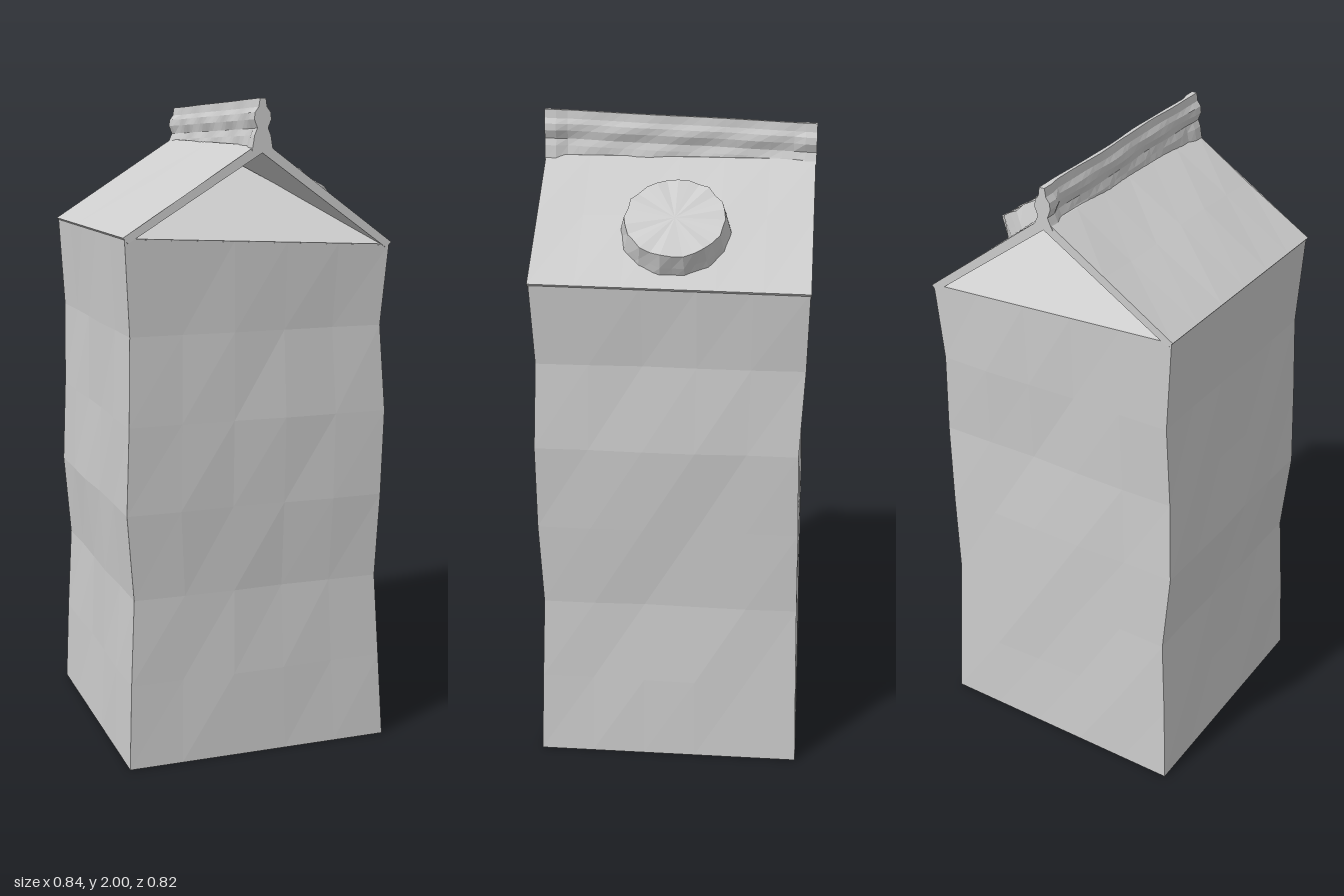
import * as THREE from 'three';

const card = new THREE.MeshStandardMaterial({ color: 0xcccccc });
card.name = 'plain grey card';

// Move each vertex by a rule, then facet the surface
function facet(geometry, rule) {
  const p = geometry.attributes.position;
  const v = new THREE.Vector3();
  for (let i = 0; i < p.count; i++) {
    v.fromBufferAttribute(p, i);
    if (rule) rule(v);
    p.setXYZ(i, v.x, v.y, v.z);
  }
  const flat = geometry.index ? geometry.toNonIndexed() : geometry;
  flat.computeVertexNormals();
  return flat;
}

function part(name, geometry) {
  const mesh = new THREE.Mesh(geometry, card);
  mesh.name = name;
  return mesh;
}

// Profile in the xy plane, extruded along z and centred
function prism(points, depth, steps) {
  const shape = new THREE.Shape(points.map(([x, y]) => new THREE.Vector2(x, y)));
  const g = new THREE.ExtrudeGeometry(shape, { depth, steps, bevelEnabled: false });
  return g.translate(0, 0, -depth / 2);
}

// Half widths of the buckled walls at seven heights
const LEFT = [0.42, 0.41, 0.396, 0.418, 0.408, 0.4, 0.415];
const RIGHT = [0.42, 0.405, 0.39, 0.4, 0.408, 0.39, 0.41];
const FRONT = [0.415, 0.406, 0.396, 0.406, 0.406, 0.396, 0.405];
const BACK = [0.406, 0.4, 0.395, 0.392, 0.386, 0.4, 0.406];
const TILT = -0.048;

export function createModel() {
  const carton = new THREE.Group();
  carton.name = 'carton';

  // Body: a box with slightly dented walls and a tilted rim
  carton.add(part('body', facet(new THREE.BoxGeometry(2, 1, 2, 5, 6, 5), (v) => {
    const k = Math.round((v.y + 0.5) * 6);
    const { x, z } = v;
    const dent = k === 0 || k === 6 ? 0 : 0.005;
    v.x = x * (x < 0 ? LEFT[k] : RIGHT[k]) + (Math.abs(x) > 0.99 ? dent * Math.sin(z * 4 + k * 2) * (1 - z * z) : 0);
    v.z = z * (z < 0 ? BACK[k] : FRONT[k]) + (Math.abs(z) > 0.99 ? dent * Math.sin(x * 4 + k * 1.7) * (1 - x * x) : 0);
    v.y = k * 0.265 + (k === 6 ? TILT * v.x : 0);
  })));

  // Tucked-in gable folds, sloping to a point under the ridge
  const fold = new THREE.ConeGeometry(0.405 * Math.SQRT2, 0.25, 4).rotateY(Math.PI / 4);
  carton.add(part('gableFolds', facet(fold.translate(0, 1.712, 0), (v) => {
    v.y += TILT * v.x;
  })));

  // Two roof panels overhanging the folds
  const roof = prism([
    [-0.42, 1.612], [-0.405, 1.595], [0, 1.845], [0.4, 1.555],
    [0.416, 1.572], [0.2, 1.733], [0.02, 1.866], [-0.02, 1.866], [-0.2, 1.752],
  ], 0.816, 6);
  carton.add(part('roofPanels', facet(roof, (v) => {
    if (Math.abs(v.x) > 0.1 && Math.abs(v.x) < 0.3) v.y += 0.006 * Math.cos(v.z * 9 + v.x * 5);
    if (v.x > 0.3) v.y += 0.012 * v.z;
  })));

  // Pinched top seam, swollen at both ends and lower at the back
  const half = [[0.026, 1.85], [0.02, 1.88], [0.013, 1.9], [0.021, 1.925], [0.019, 1.945], [0.01, 1.96], [0.007, 1.985]];
  const seamOutline = [...half, ...half.map(([x, y]) => [-x, y]).reverse()];
  carton.add(part('topSeam', facet(prism(seamOutline, 0.82, 24), (v) => {
    const end = Math.abs(v.z) > 0.36;
    v.x *= end ? 1.25 : 0.8 + 0.12 * Math.sin(v.z * 31 + v.y * 60);
    if (v.y > 1.87) v.y += 0.037 * v.z;
    if (!end) v.x += 0.003 * Math.sin(v.z * 14);
  })));

  // Screw cap lying square on the right roof panel
  const sides = 28;
  const cap = part('screwCap', facet(new THREE.CylinderGeometry(0.146, 0.165, 0.085, sides, 2), (v) => {
    const r = Math.hypot(v.x, v.z);
    if (r < 0.01) return;
    const i = Math.round((Math.atan2(v.z, v.x) / (2 * Math.PI)) * sides + sides) % sides;
    const grip = 1 + (i % 2 ? 0.012 : -0.012) + 0.012 * Math.sin(i * 1.9 + v.y * 50);
    v.x *= grip;
    v.z *= grip;
    if (v.y > 0.03) v.y += 0.004 * Math.sin(i * 2.3);
  }));
  cap.position.set(0.259, 1.712, -0.008);
  cap.rotation.z = -0.6;
  carton.add(cap);

  return carton;
}
